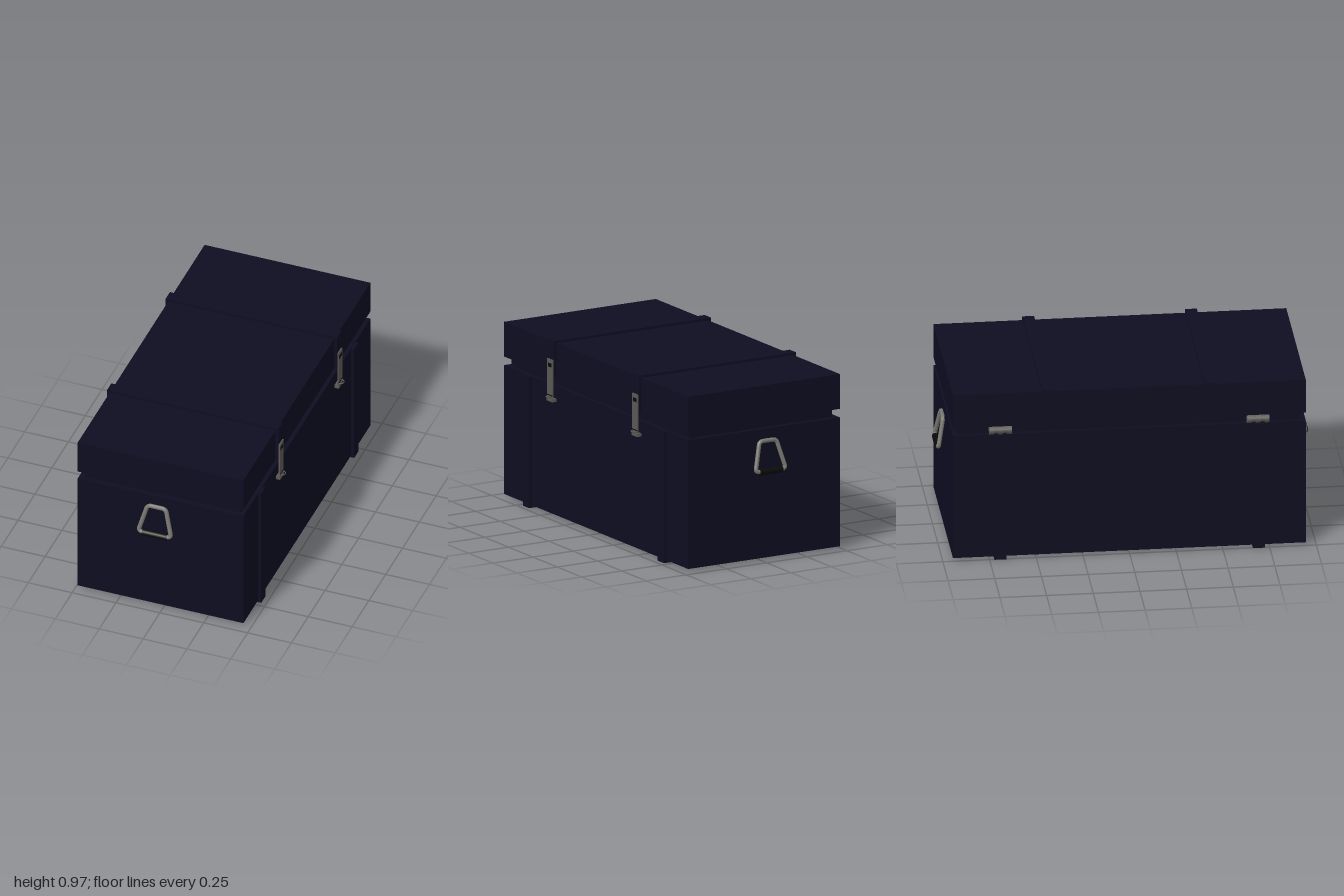
import * as THREE from 'three';

const CX = -0.0175; // the case sits slightly off centre because of the latches

function material(name, color, side = THREE.FrontSide) {
  const m = new THREE.MeshStandardMaterial({ color, side });
  m.name = name;
  return m;
}

export function createModel() {
  const navy = material('navy', 0x0d0d21);
  const steel = material('steel', 0x5a5955);
  const handleSteel = material('handle steel', 0x77756f);
  const black = material('black', 0x09090b);

  const model = new THREE.Group();
  model.name = 'storageTrunk';

  function add(name, geometry, mat, parent = model) {
    const mesh = new THREE.Mesh(geometry, mat);
    mesh.name = name;
    parent.add(mesh);
    return mesh;
  }

  // Box given by its limits on each axis
  function box(name, [x0, x1], [y0, y1], [z0, z1], mat, parent) {
    const g = new THREE.BoxGeometry(x1 - x0, y1 - y0, z1 - z0);
    g.translate((x0 + x1) / 2, (y0 + y1) / 2, (z0 + z1) / 2);
    return add(name, g, mat, parent);
  }

  // Case: lower body, recessed rim and lid
  box('body', [-0.49, 0.455], [0.014, 0.722], [-0.945, 0.945], navy);
  box('rim', [-0.46, 0.428], [0.70, 0.79], [-0.915, 0.915], navy);
  box('lid', [-0.49, 0.455], [0.769, 0.96], [-0.945, 0.945], navy);

  // Wrap-around straps, hinges, latches and handles, mirrored in z
  for (const s of [1, -1]) {
    const span = (c, w) => [s * c - w / 2, s * c + w / 2];
    box('bodyStrap', [-0.505, 0.472], [0, 0.721], span(0.692, 0.064), navy);
    box('lidStrap', [-0.505, 0.472], [0.77, 0.974], span(0.436, 0.064), navy);
    addHinge(s * 0.69);
    addLatch(s * 0.436);
    addHandle(s);
  }

  // Barrel hinge with alternating knuckles
  function addHinge(z) {
    const hinge = new THREE.Group();
    hinge.name = 'hinge';
    hinge.position.set(-0.481, 0.745, z);
    model.add(hinge);
    for (let i = 0; i < 5; i++) {
      const r = i % 2 ? 0.019 : 0.024;
      const g = new THREE.CylinderGeometry(r, r, 0.024, 12);
      g.rotateX(Math.PI / 2);
      add('knuckle', g, steel, hinge).position.z = (i - 2) * 0.024;
    }
  }

  // Hasp plate with a slot and a small padlock loop
  function addLatch(z) {
    const latch = new THREE.Group();
    latch.name = 'latch';
    latch.position.z = z;
    model.add(latch);
    box('haspPlate', [0.472, 0.479], [0.637, 0.868], [-0.028, 0.028], steel, latch);
    box('haspFoot', [0.456, 0.481], [0.637, 0.655], [-0.029, 0.029], steel, latch);
    box('slot', [0.478, 0.48], [0.826, 0.847], [-0.018, 0.018], black, latch);
    box('footGroove', [0.478, 0.4805], [0.669, 0.674], [-0.027, 0.027], black, latch);
    const loop = new THREE.TorusGeometry(0.02, 0.003, 6, 12, Math.PI);
    loop.rotateX(Math.PI / 2);
    loop.rotateY(-Math.PI / 2);
    // Turn the half ring so that it bulges away from the plate
    loop.computeBoundingBox();
    if (loop.boundingBox.min.x < -0.01) loop.rotateY(Math.PI);
    add('padlockLoop', loop, steel, latch).position.set(0.479, 0.664, 0);
  }

  // Trapezoid bail with rounded corners, leaning out to a dark grip
  function addHandle(s) {
    const handle = new THREE.Group();
    handle.name = 'endHandle';
    model.add(handle);
    const cx = -0.036;
    const corners = [[-0.094, 0.5], [-0.052, 0.658], [0.052, 0.658], [0.094, 0.5]]
      .map(([x, y]) => new THREE.Vector3(cx + x, y, s * (0.983 - (y - 0.5) * 0.19)));
    const path = new THREE.CurvePath();
    const toward = (a, b, d) => a.clone().add(b.clone().sub(a).setLength(d));
    const n = corners.length;
    corners.forEach((c, i) => {
      const prev = corners[(i + n - 1) % n], next = corners[(i + 1) % n];
      const exit = toward(c, next, 0.022);
      path.add(new THREE.QuadraticBezierCurve3(toward(c, prev, 0.022), c, exit));
      path.add(new THREE.LineCurve3(exit, toward(next, c, 0.022)));
    });
    add('bail', new THREE.TubeGeometry(path, 96, 0.012, 10, true), handleSteel, handle);
    const grip = new THREE.CylinderGeometry(0.017, 0.017, 0.14, 16);
    grip.rotateZ(Math.PI / 2);
    add('grip', grip, black, handle).position.set(cx, 0.497, s * 0.983);
  }

  return model;
}
